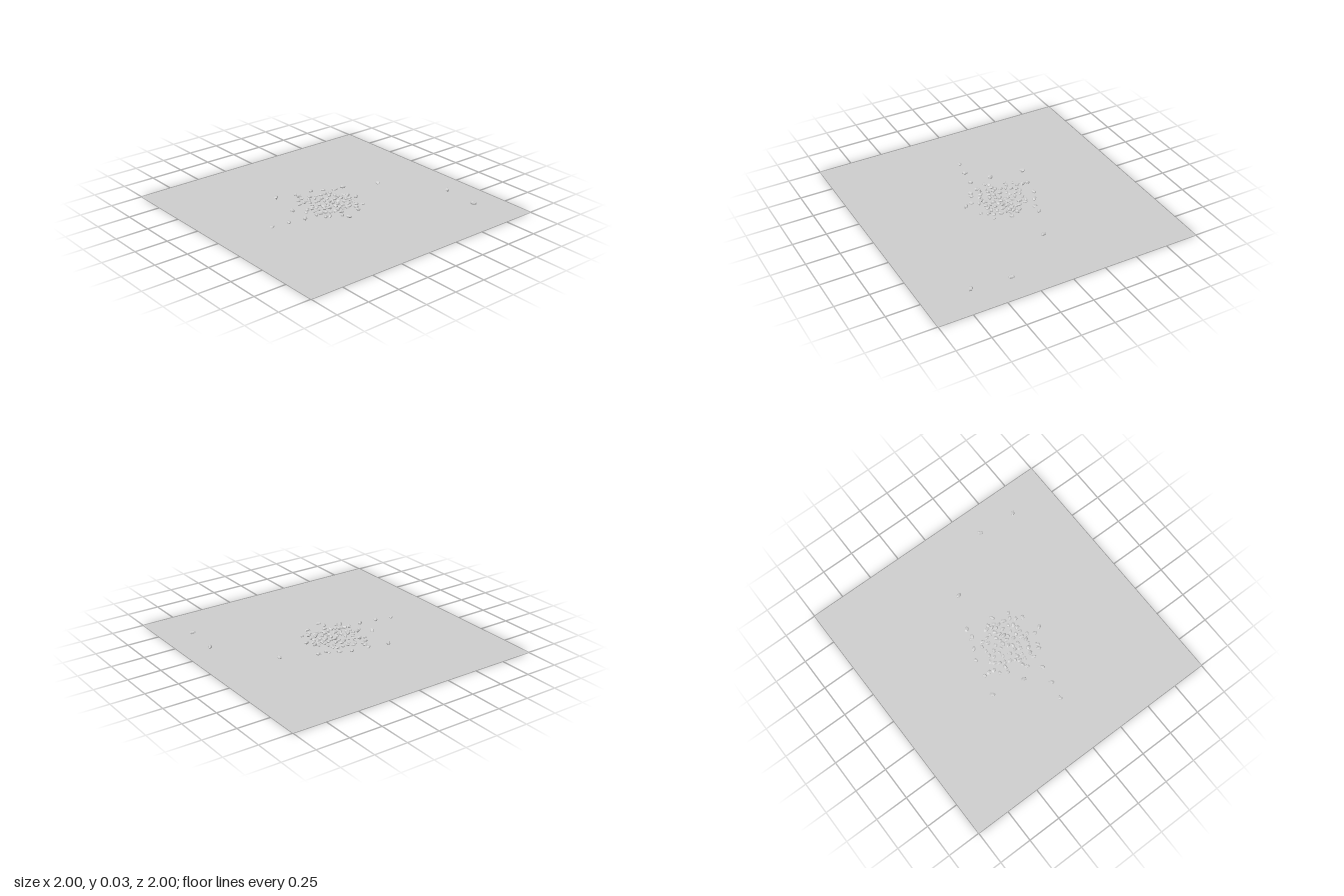
import * as THREE from 'three';
import { ConvexGeometry } from 'three/addons/geometries/ConvexGeometry.js';

// Small seeded generator for repeatable scatter
let seed = 7;
function rand() {
  seed = (seed * 16807) % 2147483647;
  return seed / 2147483647;
}
const range = (a, b) => a + (b - a) * rand();

// Angular pebble: convex hull of uneven points around an ellipsoid, resting on y = 0
function pebbleGeometry() {
  const points = [];
  const count = 16;
  for (let i = 0; i < count; i++) {
    const h = 1 - (2 * (i + 0.5)) / count;
    const r = Math.sqrt(1 - h * h);
    const a = i * 2.4 + range(-0.35, 0.35);
    const s = range(0.8, 1.1);
    points.push(new THREE.Vector3(
      Math.cos(a) * r * s * 0.023,
      h * s * 0.0125,
      Math.sin(a) * r * s * 0.016));
  }
  const geometry = new ConvexGeometry(points);
  geometry.computeBoundingBox();
  geometry.translate(0, -geometry.boundingBox.min.y, 0);
  return geometry;
}

// x, z of the stray pebbles and the rim of the pile
const strays = [
  [0.36, -0.80], [0.65, -0.78], [-0.07, -0.49], [-0.18, -0.24], [-0.33, 0.27],
  [-0.08, 0.31], [0.08, 0.32], [0.06, 0.45], [0.04, 0.58],
];
const rim = [
  [0.25, 0.06], [0.20, 0.08], [0.20, -0.07], [0.14, -0.16], [0.02, -0.20],
  [-0.04, -0.17], [-0.20, -0.16], [-0.18, -0.17], [-0.23, -0.09], [-0.27, -0.01],
  [-0.29, 0.12], [-0.25, 0.12], [-0.21, 0.13], [-0.19, 0.17], [-0.14, 0.20],
  [0.00, 0.25], [-0.02, 0.22], [0.08, 0.22], [0.15, 0.19], [0.16, 0.16],
  [0.12, -0.12], [0.15, -0.09], [0.07, -0.13], [-0.10, -0.10], [-0.15, 0.05],
  [-0.17, -0.02], [0.15, 0.05], [0.08, 0.18],
];

export function createModel() {
  seed = 7;
  const group = new THREE.Group();
  const grey = new THREE.MeshStandardMaterial({ color: 0xcccccc, side: THREE.DoubleSide });
  grey.name = 'stone grey';

  // Flat ground sheet
  const ground = new THREE.Mesh(new THREE.PlaneGeometry(2, 2).rotateX(-Math.PI / 2), grey);
  ground.name = 'groundSheet';
  group.add(ground);

  // Pebbles share a few shapes, turned and scaled
  const shapes = Array.from({ length: 8 }, pebbleGeometry);
  const pebbles = new THREE.Group();
  pebbles.name = 'pebbles';
  group.add(pebbles);
  function addPebble(x, z, size, name) {
    const pebble = new THREE.Mesh(shapes[Math.floor(rand() * shapes.length)], grey);
    pebble.name = name;
    pebble.position.set(x, 0.002, z);
    pebble.rotation.y = range(0, Math.PI * 2);
    pebble.scale.set(size, size * range(0.85, 1.15), size);
    pebbles.add(pebble);
  }
  strays.forEach(([x, z]) => addPebble(x, z, range(0.95, 1.1), 'strayPebble'));
  rim.forEach(([x, z]) => addPebble(x, z, range(0.75, 1), 'rimPebble'));

  // Crowded heart of the pile, kept from overlapping
  const placed = [...rim];
  for (let tries = 0; tries < 5000 && placed.length < rim.length + 52; tries++) {
    const a = range(0, Math.PI * 2);
    const r = 0.18 * Math.pow(rand(), 0.6);
    const x = -0.02 + Math.cos(a) * r;
    const z = 0.02 + Math.sin(a) * r;
    if (placed.some(([px, pz]) => Math.hypot(px - x, pz - z) < 0.032)) continue;
    placed.push([x, z]);
    addPebble(x, z, range(0.7, 1.05), 'pilePebble');
  }
  return group;
}
